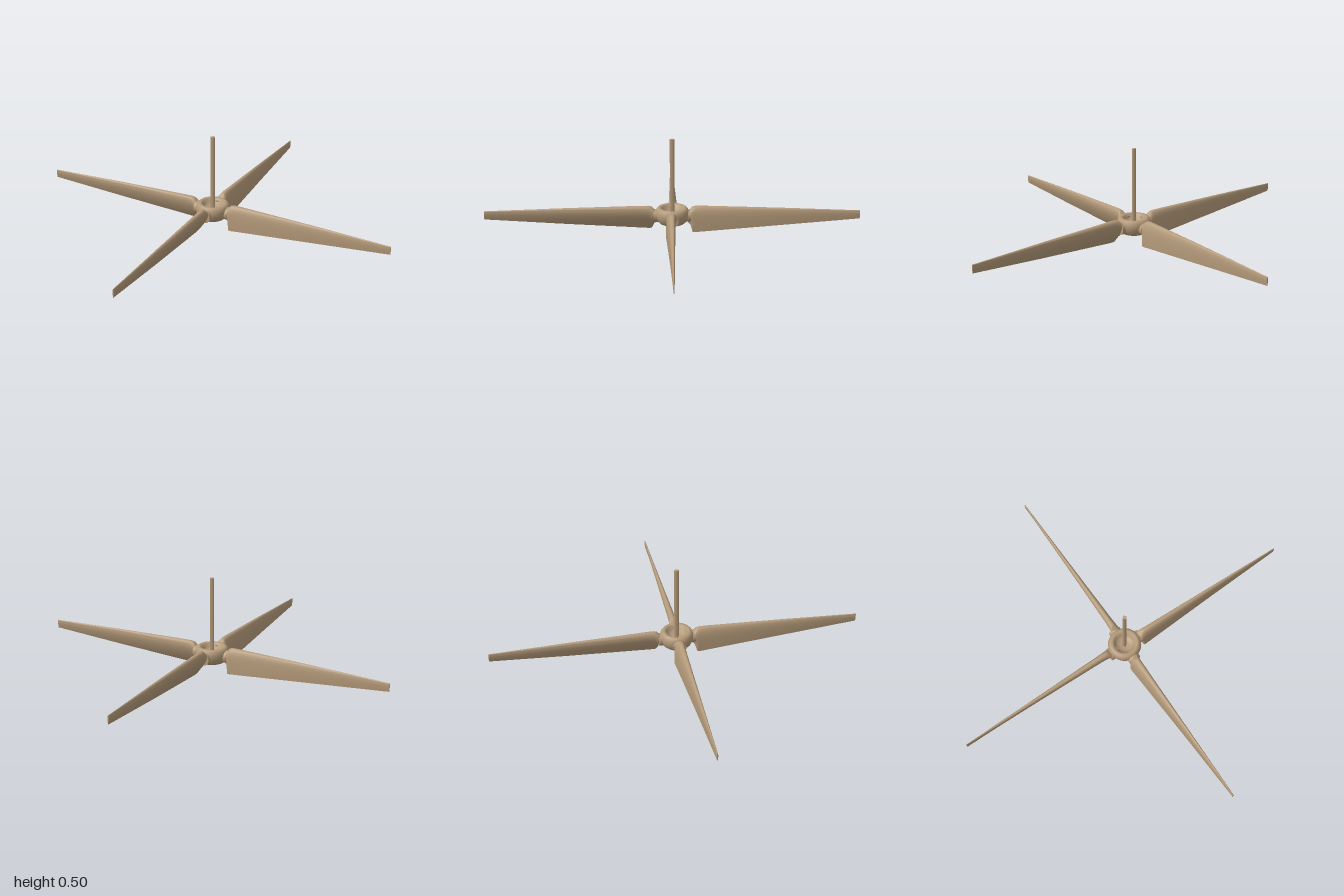
import * as THREE from 'three';
import { toCreasedNormals } from 'three/addons/utils/BufferGeometryUtils.js';

// Blade stations along the span: radius, top y, bottom y, half thickness, sideways sweep of the lower edge
const STATIONS = [
  [0.085, 0.118, 0.05, 0.026, 0.004],
  [0.097, 0.124, 0.04, 0.027, 0.012],
  [0.108, 0.138, 0.006, 0.024, 0.033],
  [0.125, 0.142, 0.005, 0.022, 0.033],
  [0.165, 0.142, 0.008, 0.02, 0.031],
  [0.58, 0.13, 0.037, 0.011, 0.014],
  [1, 0.114, 0.068, 0.003, 0],
];

// Half thickness of a streamlined section, s = 0 at the rounded nose and 1 at the thin edge
const sectionThickness = (s) => Math.max(0, 10 * (0.2969 * Math.sqrt(s) - 0.126 * s
  - 0.3516 * s ** 2 + 0.2843 * s ** 3 - 0.1036 * s ** 4));

function sectionPoint([r, top, bottom, half, sweep], theta) {
  const s = (1 + Math.cos(theta)) / 2;
  const side = Math.sin(theta) >= 0 ? 1 : -1;
  const z = sweep * s ** 1.6 + side * half * sectionThickness(s);
  return [r, top + (bottom - top) * s, z];
}

// Lofted blade along +x, thin edge at the bottom
function bladeGeometry() {
  const N = 28;
  const rings = STATIONS.map((st) => Array.from({ length: N + 1 },
    (_, i) => sectionPoint(st, (i % N) / N * Math.PI * 2)));
  const pos = [];
  const tri = (a, b, c) => pos.push(...a, ...b, ...c);
  for (let j = 0; j < rings.length - 1; j++) {
    for (let i = 0; i < N; i++) {
      const a = rings[j][i], b = rings[j + 1][i], c = rings[j + 1][i + 1], d = rings[j][i + 1];
      tri(a, b, d);
      tri(b, c, d);
    }
  }
  // End caps
  const capCentre = ([r, top, bottom, , sweep]) => [r, (top + bottom) / 2, sweep * 0.5 ** 1.6];
  const last = rings.length - 1;
  for (let i = 0; i < N; i++) {
    tri(capCentre(STATIONS[0]), rings[0][i], rings[0][i + 1]);
    tri(capCentre(STATIONS[last]), rings[last][i + 1], rings[last][i]);
  }
  const geo = new THREE.BufferGeometry();
  geo.setAttribute('position', new THREE.Float32BufferAttribute(pos, 3));
  geo.computeVertexNormals();
  return toCreasedNormals(geo, 0.75);
}

export function createModel() {
  const group = new THREE.Group();
  const tan = new THREE.MeshStandardMaterial({ color: 0xb49a7a });
  tan.name = 'tan';
  const add = (parent, geo, name) => {
    const mesh = new THREE.Mesh(geo, tan);
    mesh.name = name;
    parent.add(mesh);
    return mesh;
  };

  // Hub: rounded ring with a dished top and a hollow underside
  const profile = [
    [0, 0.078], [0.036, 0.075], [0.044, 0.056], [0.054, 0.048], [0.066, 0.049], [0.078, 0.06],
    [0.087, 0.08], [0.09, 0.1], [0.087, 0.119], [0.078, 0.131], [0.066, 0.134],
    [0.056, 0.128], [0.05, 0.113], [0.038, 0.102], [0.02, 0.097], [0, 0.096],
  ].map(([x, y]) => new THREE.Vector2(x, y));
  add(group, new THREE.LatheGeometry(profile, 40), 'hub');

  // Drive shaft, four-sided with softened shading
  const shaft = add(group, new THREE.CylinderGeometry(0.013, 0.013, 0.43, 4), 'shaft');
  shaft.position.y = 0.295;

  // Four blades, each with a round root socket
  const blade = bladeGeometry();
  const socket = new THREE.CylinderGeometry(0.034, 0.034, 0.05, 24).rotateZ(Math.PI / 2);
  for (let k = 0; k < 4; k++) {
    const arm = new THREE.Group();
    arm.name = 'bladeArm' + (k + 1);
    add(arm, blade, 'blade');
    add(arm, socket, 'bladeSocket').position.set(0.075, 0.088, 0);
    arm.rotation.y = k * Math.PI / 2;
    group.add(arm);
  }
  return group;
}
